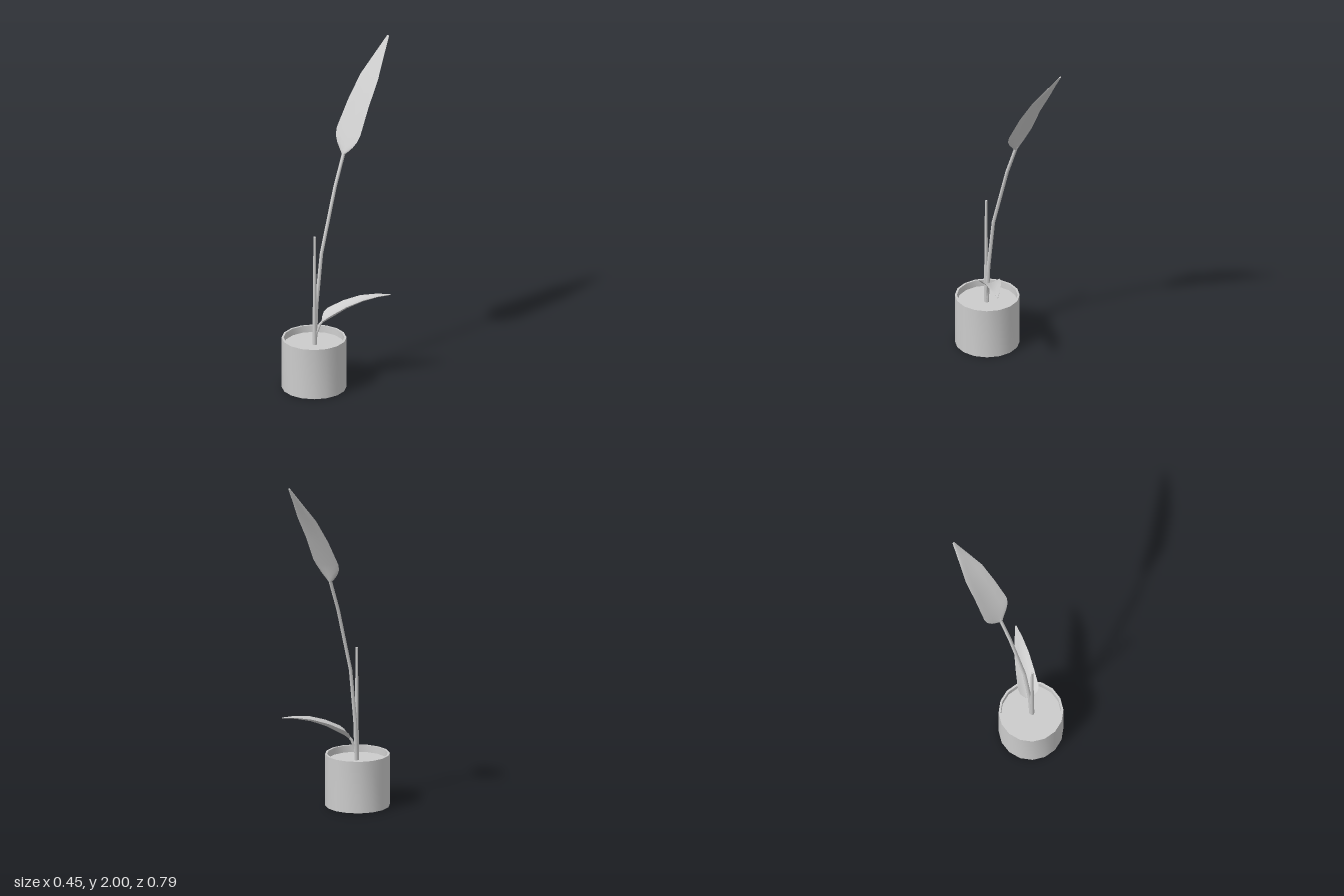
import * as THREE from 'three';
import { toCreasedNormals } from 'three/addons/utils/BufferGeometryUtils.js';

const SIDES = 12;

// Sweeps a flattened, upward-cupped section along stations [x, y, z, halfWidth, halfThickness, cup].
function sweep(stations, sideVector) {
  const side = new THREE.Vector3(...sideVector).normalize();
  const centres = stations.map(([x, y, z]) => new THREE.Vector3(x, y, z));
  const last = stations.length - 1;
  const positions = [];
  const index = [];
  stations.forEach(([, , , width, thick, cup], i) => {
    const tangent = centres[Math.min(i + 1, last)].clone().sub(centres[Math.max(i - 1, 0)]).normalize();
    const up = side.clone().cross(tangent).normalize();
    for (let j = 0; j < SIDES; j++) {
      const a = (j / SIDES) * Math.PI * 2;
      const c = Math.cos(a);
      const p = centres[i].clone()
        .addScaledVector(side, c * width)
        .addScaledVector(up, Math.sin(a) * thick + c * c * cup);
      positions.push(p.x, p.y, p.z);
    }
  });
  positions.push(...centres[0].toArray(), ...centres[last].toArray());
  const startCap = (last + 1) * SIDES;
  for (let j = 0; j < SIDES; j++) {
    const k = (j + 1) % SIDES;
    for (let i = 0; i < last; i++) {
      const a = i * SIDES, b = a + SIDES;
      index.push(a + j, b + j, a + k, a + k, b + j, b + k);
    }
    index.push(startCap, j, k);
    index.push(startCap + 1, last * SIDES + k, last * SIDES + j);
  }
  const geometry = new THREE.BufferGeometry();
  geometry.setAttribute('position', new THREE.Float32BufferAttribute(positions, 3));
  geometry.setIndex(index);
  return toCreasedNormals(geometry, 1.0);
}

export function createModel() {
  const grey = new THREE.MeshStandardMaterial({ color: 0xcccccc });
  grey.name = 'light grey';
  const model = new THREE.Group();
  model.name = 'pottedPlant';
  const add = (name, geometry, x = 0, y = 0, z = 0) => {
    const mesh = new THREE.Mesh(geometry, grey);
    mesh.name = name;
    mesh.position.set(x, y, z);
    model.add(mesh);
  };

  // Sixteen-sided pot with a thin rim
  const profile = [[0, 0], [0.185, 0], [0.185, 0.305], [0.173, 0.305], [0.171, 0.255], [0, 0.255]]
    .map(([r, y]) => new THREE.Vector2(r, y));
  add('pot', toCreasedNormals(new THREE.LatheGeometry(profile, 16), 0.6), -0.04, 0, 0.208);

  // Soil just below the rim
  const soil = new THREE.CircleGeometry(0.172, 16);
  soil.rotateX(-Math.PI / 2);
  add('soil', soil, -0.04, 0.265, 0.208);

  // Young upright shoot
  add('shoot', new THREE.CylinderGeometry(0.007, 0.013, 0.67, 8), -0.033, 0.595, 0.21);

  // Tall arching stem
  add('tallStem', sweep([
    [-0.035, 0.25, 0.205, 0.011, 0.011, 0],
    [-0.035, 0.50, 0.193, 0.011, 0.011, 0],
    [-0.035, 0.81, 0.153, 0.010, 0.010, 0],
    [-0.036, 1.19, 0.042, 0.010, 0.010, 0],
    [-0.037, 1.39, -0.034, 0.010, 0.010, 0],
  ], [1, 0, 0]));

  // Tall leaf continuing the stem's arc
  add('tallLeaf', sweep([
    [-0.037, 1.370, -0.026, 0.010, 0.009, 0],
    [-0.037, 1.390, -0.034, 0.032, 0.008, 0.004],
    [-0.037, 1.420, -0.048, 0.062, 0.007, 0.010],
    [-0.037, 1.455, -0.063, 0.085, 0.006, 0.014],
    [-0.037, 1.490, -0.082, 0.094, 0.006, 0.016],
    [-0.037, 1.640, -0.158, 0.083, 0.006, 0.014],
    [-0.037, 1.780, -0.243, 0.070, 0.006, 0.010],
    [-0.037, 1.890, -0.316, 0.038, 0.005, 0.005],
    [-0.037, 1.998, -0.390, 0.007, 0.004, 0],
  ], [1, 0, 0]));

  // Short stem and low leaf leaning back to the left
  const lowSide = [0.812, 0, 0.583];
  add('lowStem', sweep([
    [-0.033, 0.25, 0.208, 0.008, 0.008, 0],
    [-0.030, 0.33, 0.200, 0.008, 0.008, 0],
    [-0.018, 0.385, 0.182, 0.008, 0.008, 0],
    [-0.005, 0.410, 0.165, 0.008, 0.007, 0],
  ], lowSide));
  add('lowLeaf', sweep([
    [-0.010, 0.400, 0.172, 0.010, 0.007, 0],
    [-0.003, 0.410, 0.162, 0.034, 0.006, 0.012],
    [0.007, 0.421, 0.148, 0.052, 0.005, 0.022],
    [0.022, 0.436, 0.128, 0.060, 0.005, 0.026],
    [0.070, 0.483, 0.060, 0.053, 0.005, 0.020],
    [0.125, 0.519, -0.015, 0.042, 0.005, 0.013],
    [0.178, 0.537, -0.085, 0.023, 0.004, 0.006],
    [0.222, 0.542, -0.145, 0.004, 0.003, 0],
  ], lowSide));

  return model;
}
